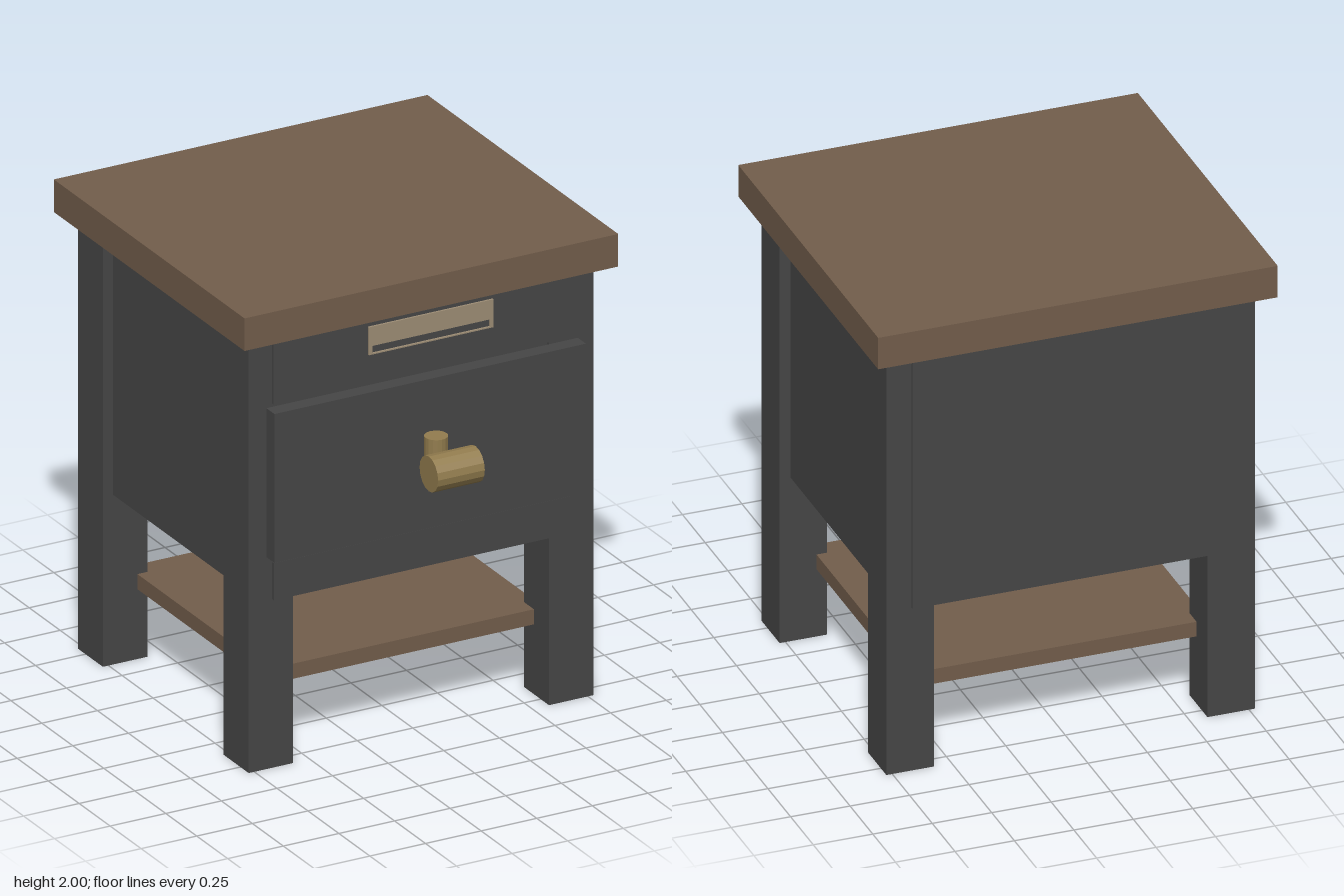
import * as THREE from 'three';

export function createModel() {
  const model = new THREE.Group();
  model.name = 'nightstand';

  const mat = (name, color, flatShading = false) => {
    const m = new THREE.MeshStandardMaterial({ color, flatShading });
    m.name = name;
    return m;
  };
  const wood = mat('brown wood', 0x725d4b);
  const paint = mat('charcoal paint', 0x464646);
  const brass = mat('aged brass', 0x927c4e, true);
  const beige = mat('beige metal', 0x9c8c74);

  const add = (name, geometry, material, parent = model) => {
    const mesh = new THREE.Mesh(geometry, material);
    mesh.name = name;
    parent.add(mesh);
    return mesh;
  };
  // Box given by its limits on each axis
  const box = (name, material, [x0, x1], [y0, y1], [z0, z1]) => {
    const g = new THREE.BoxGeometry(x1 - x0, y1 - y0, z1 - z0);
    g.translate((x0 + x1) / 2, (y0 + y1) / 2, (z0 + z1) / 2);
    return add(name, g, material);
  };

  // Table top and lower shelf
  box('tableTop', wood, [-0.84, 0.84], [1.86, 2], [-0.89, 0.65]);
  box('shelf', wood, [-0.62, 0.62], [0.3, 0.365], [-0.69, 0.445]);

  // Four square legs
  for (const [side, x] of [['Left', 0.675], ['Right', -0.675]]) {
    box(`front${side}Leg`, paint, [x - 0.1, x + 0.1], [0, 1.86], [0.365, 0.567]);
    box(`back${side}Leg`, paint, [x - 0.1, x + 0.1], [0, 1.86], [-0.81, -0.61]);
  }

  // Cabinet body, recessed between the legs
  box('cabinetBody', paint, [-0.73, 0.73], [0.73, 1.86], [-0.79, 0.55]);
  box('backPanel', paint, [-0.67, 0.67], [0.727, 1.858], [-0.79, -0.825]
    .sort((a, b) => a - b));

  // Front rails, drawer and the drawer floor behind it
  box('upperFrontPanel', paint, [-0.67, 0.67], [1.565, 1.845], [0.54, 0.577]);
  box('lowerFrontPanel', paint, [-0.67, 0.67], [0.725, 0.885], [0.54, 0.582]);
  box('drawerFront', paint, [-0.7, 0.7], [0.915, 1.555], [0.575, 0.64]);
  box('drawerFloor', wood, [-0.56, 0.56], [0.93, 0.98], [0.4, 0.576]);

  // Thin slotted plate under the table top
  const plate = new THREE.Shape()
    .moveTo(-0.28, 1.72).lineTo(0.28, 1.72).lineTo(0.28, 1.84).lineTo(-0.28, 1.84).closePath();
  plate.holes.push(new THREE.Path()
    .moveTo(-0.265, 1.725).lineTo(-0.265, 1.757).lineTo(0.265, 1.757).lineTo(0.265, 1.725).closePath());
  const plateGeometry = new THREE.ExtrudeGeometry(plate, { depth: 0.009, bevelEnabled: false });
  plateGeometry.translate(0, 0, 0.64);
  add('slottedPlate', plateGeometry, beige);

  // Drawer knob: upright post, short neck and a horizontal grip
  const knob = new THREE.Group();
  knob.name = 'drawerKnob';
  model.add(knob);
  add('knobPost', new THREE.CylinderGeometry(0.048, 0.048, 0.135, 16), brass, knob)
    .position.set(0, 1.263, 0.688);
  const neck = add('knobNeck', new THREE.CylinderGeometry(0.038, 0.034, 0.07, 16), brass, knob);
  neck.rotation.x = Math.PI / 2;
  neck.position.set(0, 1.238, 0.745);
  const grip = add('knobGrip', new THREE.CylinderGeometry(0.075, 0.075, 0.21, 16), brass, knob);
  grip.rotation.z = Math.PI / 2;
  grip.position.set(0, 1.238, 0.818);

  return model;
}
